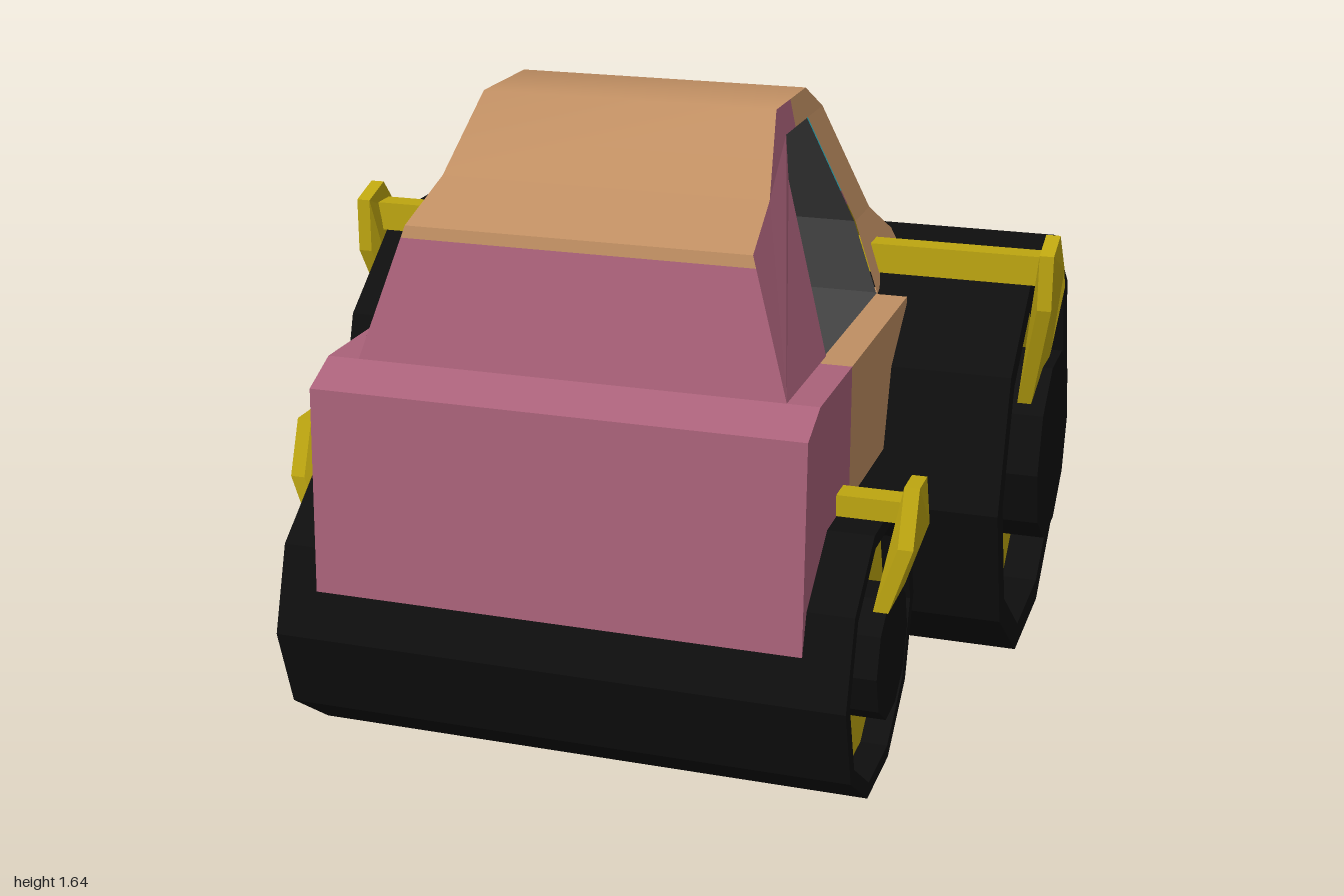
import * as THREE from 'three';

const mat = (name, color, side = THREE.DoubleSide) => {
  const m = new THREE.MeshStandardMaterial({ color, side });
  m.name = name;
  return m;
};

export function createModel() {
  const model = new THREE.Group();
  model.name = 'roadRoller';
  const pink = mat('dusty pink', 0xa96179), tan = mat('tan', 0xbf8e62);
  const yellow = mat('yellow', 0xbda510), cyan = mat('cyan glass', 0x30c8d8);
  const black = mat('black', 0x0e0e0e), gray = mat('dark gray', 0x444444);

  const CX = -0.013; // body centre line

  const add = (name, geo, material, parent = model, smooth = false) => {
    const g = geo.index && !smooth ? geo.toNonIndexed() : geo;
    g.computeVertexNormals();
    const mesh = new THREE.Mesh(g, material);
    mesh.name = name;
    parent.add(mesh);
    return mesh;
  };

  // Solid with a (z, y) outline, spanning x0 to x1
  const slab = (pts, x0, x1) => {
    const shape = new THREE.Shape(pts.map(p => new THREE.Vector2(...p)));
    return new THREE.ExtrudeGeometry(shape, { depth: x1 - x0, bevelEnabled: false })
      .rotateY(-Math.PI / 2).translate(x1, 0, 0);
  };

  // Cab half width narrows with height
  const halfWidth = y => y < 1.38
    ? THREE.MathUtils.mapLinear(y, 1.05, 1.38, 0.545, 0.44)
    : THREE.MathUtils.mapLinear(y, 1.38, 1.64, 0.44, 0.385);
  const edge = (pts, side, inset = 0) =>
    pts.map(([z, y]) => [CX + side * (halfWidth(y) - inset), y, z]);

  // Surface between two matching polylines
  const strip = (a, b) => {
    const pos = [], idx = [];
    a.forEach((p, i) => {
      pos.push(...p, ...b[i]);
      if (i) {
        const k = 2 * i;
        idx.push(k - 2, k - 1, k, k - 1, k + 1, k);
      }
    });
    const g = new THREE.BufferGeometry();
    g.setAttribute('position', new THREE.Float32BufferAttribute(pos, 3));
    g.setIndex(idx);
    return g;
  };
  const across = (pts, inset = 0) => strip(edge(pts, 1, inset), edge(pts, -1, inset));

  // Flat side of the cab frame
  const cheek = (pts, side) => {
    const g = new THREE.ShapeGeometry(new THREE.Shape(pts.map(p => new THREE.Vector2(...p))));
    const p = g.attributes.position;
    for (let i = 0; i < p.count; i++) {
      const z = p.getX(i), y = p.getY(i);
      p.setXYZ(i, CX + side * halfWidth(y), y, z);
    }
    if (side > 0) {
      const ix = g.index.array;
      for (let i = 0; i < ix.length; i += 3) [ix[i], ix[i + 1]] = [ix[i + 1], ix[i]];
    }
    return g;
  };

  // Lower body
  add('frontBody', slab([[0.96, 0.47], [0.94, 1.0], [0.83, 1.05], [0.52, 1.05],
    [0.52, 0.69], [0.72, 0.69], [0.88, 0.47]], -0.64, 0.613), pink);
  add('rearBody', slab([[0.52, 1.05], [-0.1, 1.05], [-0.1, 0.7], [0.52, 0.7]], -0.64, 0.613), tan);

  // Cab frame sides
  const cab = new THREE.Group();
  cab.name = 'cab';
  model.add(cab);
  const frontPillar = [[0.83, 1.05], [0.76, 1.38], [0.56, 1.46], [0.37, 1.64], [0.24, 1.64],
    [0.24, 1.57], [0.33, 1.57], [0.38, 1.47], [0.46, 1.05]];
  const rearPillar = [[0.24, 1.64], [0.09, 1.64], [-0.03, 1.57], [-0.25, 1.25], [-0.4, 1.155],
    [-0.42, 1.12], [-0.1, 1.05], [-0.09, 1.25], [0.12, 1.57], [0.24, 1.57]];
  const rim = [[-0.03, 1.57], [-0.25, 1.25], [-0.42, 1.12]];
  const recess = [[-0.02, 1.56], [-0.2, 1.265], [-0.42, 1.12]];
  for (const s of [1, -1]) {
    add('frontPillar', cheek(frontPillar, s), pink, cab);
    add('rearPillar', cheek(rearPillar, s), tan, cab);
    add('rearPillarRim', strip(edge(rim, s), edge(rim, s, 0.025)), tan, cab);
    add('rearPillarJamb', strip(edge(rim, s, 0.025), edge(recess, s, 0.02)), pink, cab);
  }

  // Cab skin, window and lining
  add('cowl', across([[0.83, 1.05], [0.766, 1.35]]), pink, cab);
  add('hoodEdge', across([[0.766, 1.35], [0.76, 1.38]]), tan, cab);
  add('hood', across([[0.76, 1.38], [0.56, 1.46]]), tan, cab);
  add('roof', across([[0.56, 1.46], [0.37, 1.64], [0.09, 1.64], [-0.03, 1.57]]), tan, cab, true);
  add('rearWindow', across([[-0.02, 1.56], [-0.17, 1.31]], 0.02), cyan, cab);
  add('windowSill', across([[-0.17, 1.31], [-0.2, 1.265]], 0.02), pink, cab);
  add('rearPanel', across([[-0.2, 1.265], [-0.42, 1.12]], 0.015), yellow, cab);
  add('rearUnderside', across([[-0.42, 1.12], [-0.1, 1.05]]), tan, cab);
  add('cabLining', across([[0.46, 1.05], [0.38, 1.47], [0.33, 1.57], [0.12, 1.57],
    [-0.09, 1.25], [-0.1, 1.05]], 0.003), gray, cab);
  add('cabFloor', across([[0.46, 1.054], [-0.1, 1.054]]), gray, cab);

  // Ten-sided rollers with sunken yellow discs and a hub
  const roller = (name, y, z, R, disc, hub, half, hubHalf, depth) => {
    const g = new THREE.Group();
    g.name = name;
    g.position.set(-0.005, y, z);
    model.add(g);
    const profile = [[disc, depth - half], [disc, -half], [R, -half],
      [R, half], [disc, half], [disc, half - depth]].map(p => new THREE.Vector2(...p));
    add('drum', new THREE.LatheGeometry(profile, 10).rotateZ(Math.PI / 2), black, g);
    add('discs', new THREE.CylinderGeometry(disc, disc, 2 * (half - depth), 10)
      .rotateZ(Math.PI / 2), yellow, g);
    add('hub', new THREE.CylinderGeometry(hub, hub, 2 * hubHalf, 10)
      .rotateZ(Math.PI / 2), black, g);
  };
  roller('rearRoller', 0.562, -0.405, 0.588, 0.515, 0.265, 0.935, 0.985, 0.1);
  roller('frontRoller', 0.355, 0.625, 0.37, 0.33, 0.17, 0.735, 0.762, 0.07);

  // Yellow arms: an upright plate bent inward below the knee, and a crossbar
  const arm = (name, pts, s, outer, knee, lean, bar) => {
    const g = new THREE.Group();
    g.name = name;
    model.add(g);
    const plate = slab(pts, outer - 0.038, outer);
    const p = plate.attributes.position;
    for (let i = 0; i < p.count; i++) {
      const x = p.getX(i) - Math.max(0, knee - p.getY(i)) * lean;
      p.setX(i, s * x);
    }
    add('armPlate', plate, yellow, g);
    const [x0, y, z, h, d] = bar, len = outer - 0.02 - x0;
    add('crossbar', new THREE.BoxGeometry(len, h, d)
      .translate(s * (x0 + len / 2), y, z), yellow, g);
  };
  for (const s of [1, -1]) {
    arm('rearArm', [[-0.11, 1.19], [-0.21, 1.222], [-0.32, 1.1], [-0.345, 1.04], [-0.43, 0.82],
      [-0.22, 0.74], [-0.11, 1.04]], s, 0.998, 1.04, 0.19, [0.3, 1.13, -0.205, 0.08, 0.07]);
    arm('frontArm', [[0.665, 0.81], [0.58, 0.81], [0.53, 0.67], [0.53, 0.5],
      [0.72, 0.5], [0.72, 0.67]], s, 0.82, 0.67, 0.33, [0.55, 0.738, 0.62, 0.055, 0.07]);
  }
  return model;
}
